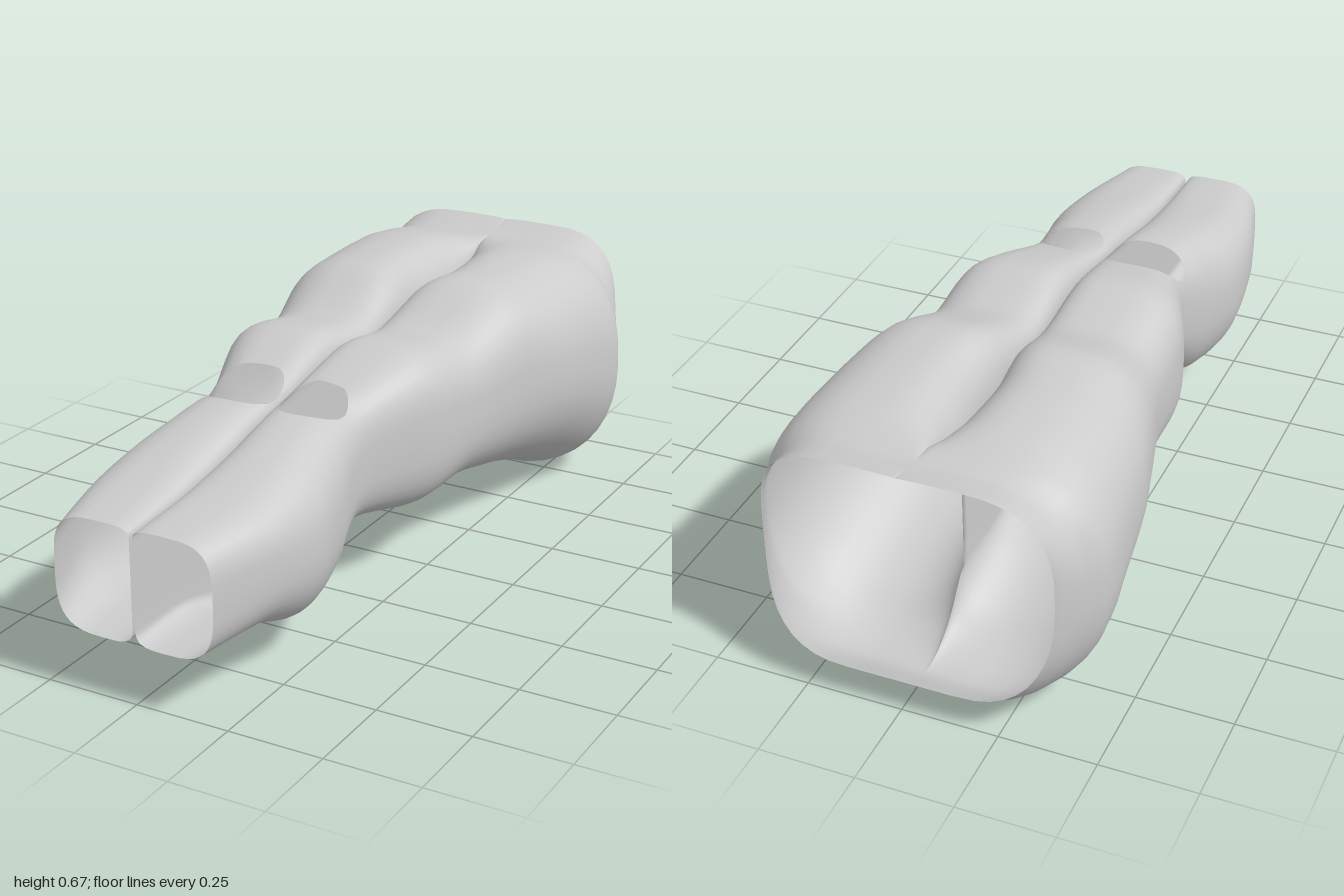
import * as THREE from 'three';
import { mergeVertices } from 'three/addons/utils/BufferGeometryUtils.js';

// Half cross-sections from cuff to waist:
// z, inner x, outer x, bottom y, top y, inner-bottom y, inner-top y, squareness
const SECTIONS = [
  [1.00, 0.004, 0.218, 0.157, 0.455, 0.20, 0.42, 3.2],
  [0.80, 0.004, 0.272, 0.155, 0.478, 0.19, 0.43, 2.6],
  [0.62, 0.004, 0.290, 0.092, 0.515, 0.15, 0.45, 2.2],
  [0.47, 0.004, 0.260, 0.105, 0.545, 0.17, 0.48, 2.3],
  [0.31, 0.004, 0.232, 0.220, 0.562, 0.25, 0.51, 2.9],
  [0.07, 0.004, 0.318, 0.187, 0.624, 0.23, 0.52, 2.8],
  [-0.14, 0.003, 0.332, 0.185, 0.600, 0.23, 0.52, 2.6],
  [-0.34, 0.006, 0.385, 0.148, 0.670, 0.21, 0.52, 2.3],
  [-0.48, 0.012, 0.420, 0.112, 0.672, 0.20, 0.50, 2.1],
  [-0.63, 0, 0.438, 0.060, 0.672, 0.17, 0.49, 2.1],
  [-0.72, 0, 0.447, 0.020, 0.668, 0.07, 0.56, 2.1],
  [-0.80, 0, 0.445, 0.003, 0.655, 0.02, 0.63, 2.1],
  [-0.88, 0, 0.408, 0.015, 0.645, 0.015, 0.645, 2.2],
  [-0.98, 0, 0.372, 0.090, 0.667, 0.09, 0.662, 2.6],
];
const LAST = SECTIONS.length - 1;
const CROTCH = 9;      // section where the legs join
const SUB = 6;         // rings per section
const QUARTER = 10;    // segments per corner
const WALL = 4;        // segments on the inner thigh wall
const COLS = QUARTER * 4 + WALL;

// Smooth blend through the sections
function sectionAt(t) {
  const i = Math.min(Math.floor(t), LAST - 1), f = t - i;
  const at = (k) => SECTIONS[Math.max(0, Math.min(LAST, k))];
  return SECTIONS[i].map((b, k) => {
    const a = at(i - 1)[k], c = at(i + 1)[k], d = at(i + 2)[k];
    const m0 = (c - a) * 0.42, m1 = (d - b) * 0.42;
    const f2 = f * f, f3 = f2 * f;
    return (2 * f3 - 3 * f2 + 1) * b + (f3 - 2 * f2 + f) * m0 + (3 * f2 - 2 * f3) * c + (f3 - f2) * m1;
  });
}

// Cloth position: t runs along the sections, u runs round the half ring
// (over the top, down the outside, under, then up the inner wall)
function surface(t, u) {
  const [z, xiRaw, xo, yb, yt, vb, vt, n] = sectionAt(t);
  const xi = t >= CROTCH ? 0 : Math.max(0, xiRaw);
  const cx = xi + (xo - xi) * 0.36, cy = (yb + yt) / 2;
  let x, y;
  if (u >= QUARTER * 4) {
    x = xi;
    y = vb + (vt - vb) * (u - QUARTER * 4) / WALL;
  } else {
    const q = Math.floor(u / QUARTER), f = u / QUARTER - q;
    const a = (q % 2 ? f : 1 - f) * Math.PI / 2;     // 0 at crest, 90 degrees at side
    const [side, yMid, yEnd] = [[xi, vt, yt], [xo, cy, yt], [xo, cy, yb], [xi, vb, yb]][
      q];
    const power = 2 / (q < 2 ? n + 0.4 : n);
    const angle = q % 2 || q === 0 || q === 2 ? a : 0;
    x = cx + (side - cx) * Math.pow(Math.sin(angle), power);
    y = yMid + (yEnd - yMid) * Math.pow(Math.max(0, Math.cos(angle)), power);
  }
  // Uneven waist edge: scooped at the hips, longest at the seat
  const rim = Math.max(0, t - (LAST - 1));
  const h = Math.min(1, Math.max(0, (y - 0.09) / 0.575));
  const seat = 0.02 * Math.max(0, 1 - h * 3) - 0.005 * h;
  return [x, y, z + rim * (0.035 * Math.sin(Math.PI * h) - seat)];
}

// One side of the trousers with a ripped knee
function addSide(side, rip, positions, indices) {
  const count = LAST * SUB;
  const base = positions.length / 3;
  const params = [];
  for (let i = 0; i <= count; i++) for (let j = 0; j < COLS; j++) params.push([i / SUB, j]);
  const ripRadius = (t, u) => Math.pow(
    Math.pow(Math.abs(t - rip.t) / rip.rt, 1.6) + Math.pow(Math.abs(u - rip.u) / rip.ru, 1.6), 1 / 1.6);
  const kept = new Set(), cut = new Set();

  for (let i = 0; i < count; i++) {
    const cols = i >= CROTCH * SUB ? QUARTER * 4 : COLS;   // no inner wall above the crotch
    for (let j = 0; j < cols; j++) {
      const k = (j + 1) % COLS;
      const quad = [i * COLS + j, i * COLS + k, (i + 1) * COLS + j, (i + 1) * COLS + k];
      const inside = ripRadius((i + 0.5) / SUB, j + 0.5) < 1;
      quad.forEach((q) => (inside ? cut : kept).add(q));
      if (inside) continue;
      const [a, b, c, d] = quad.map((q) => q + base);
      if (side > 0) indices.push(a, b, c, b, d, c);
      else indices.push(a, c, b, b, c, d);
    }
  }

  // Slide the edge of the rip along the cloth onto a clean outline
  for (const q of cut) {
    if (!kept.has(q)) continue;
    const [t, u] = params[q], r = ripRadius(t, u);
    params[q] = [rip.t + (t - rip.t) / r, rip.u + (u - rip.u) / r];
  }
  for (const [t, u] of params) {
    const [x, y, z] = surface(t, u);
    positions.push(side * x, y, z);
  }
}

export function createModel() {
  const positions = [], indices = [];
  addSide(1, { t: 3.8, rt: 0.48, u: 0.95 * QUARTER, ru: 0.45 * QUARTER }, positions, indices);
  addSide(-1, { t: 3.85, rt: 0.5, u: 0.98 * QUARTER, ru: 0.68 * QUARTER }, positions, indices);

  let geometry = new THREE.BufferGeometry();
  geometry.setAttribute('position', new THREE.Float32BufferAttribute(positions, 3));
  geometry.setIndex(indices);
  geometry = mergeVertices(geometry, 1e-4);
  geometry.computeVertexNormals();

  const trousers = new THREE.Mesh(geometry,
    new THREE.MeshStandardMaterial({ color: 0xcccccc, side: THREE.DoubleSide }));
  trousers.name = 'trousers';
  const group = new THREE.Group();
  group.name = 'rippedTrousers';
  group.add(trousers);
  return group;
}
